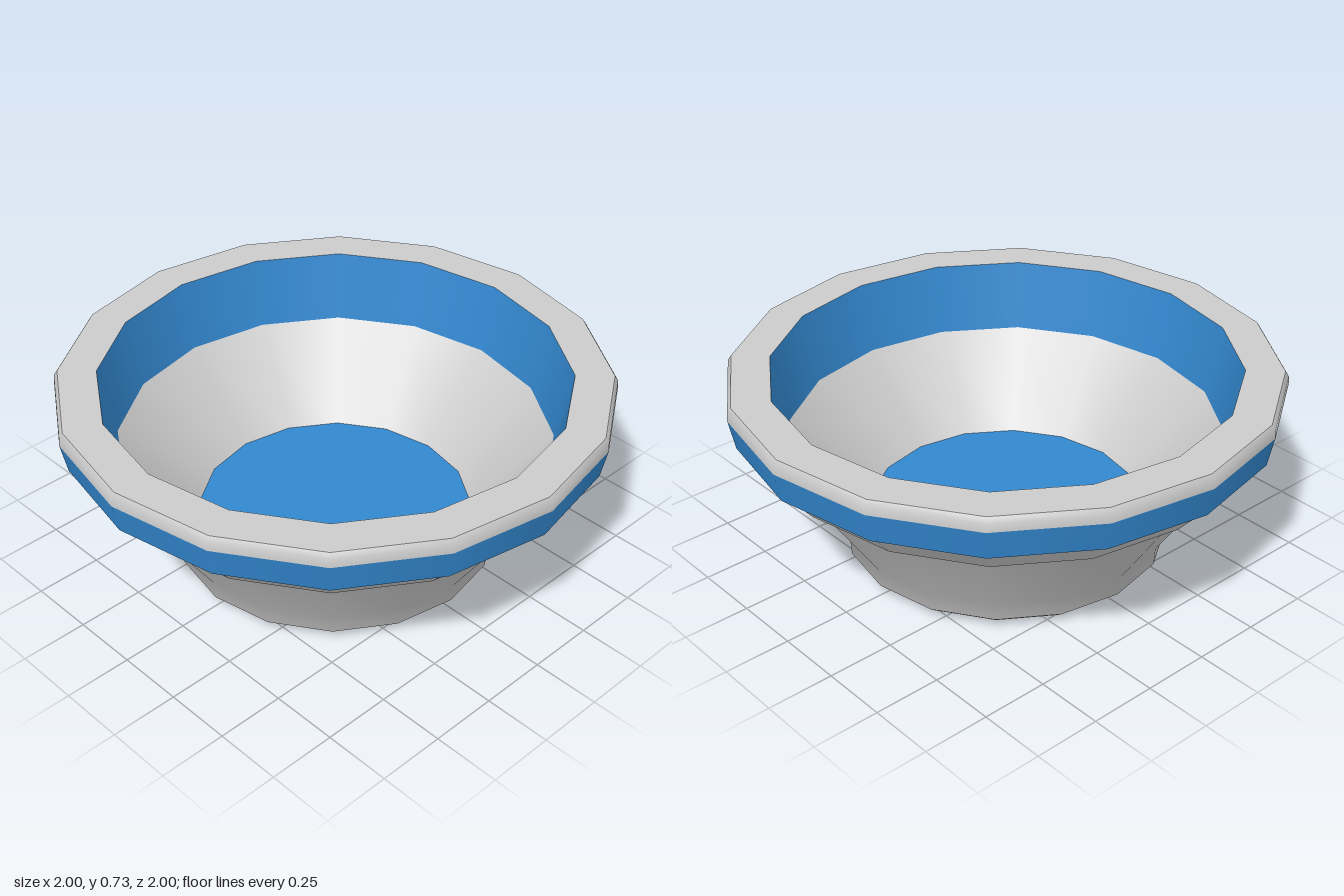
import * as THREE from 'three';

const GREY = 0xcccccc;
const BLUE = 0x3388d0;
const SIDES = 16;

const material = (color) => new THREE.MeshStandardMaterial({ color });

// Ring of surface turned around y; the profile [radius, height] runs
// up the outside, across the rim and down the inside.
function turned(name, color, profile) {
  const points = profile.map(([r, y]) => new THREE.Vector2(r, y));
  const mesh = new THREE.Mesh(new THREE.LatheGeometry(points, SIDES), material(color));
  mesh.name = name;
  return mesh;
}

// Irregular coloured patch under the foot, drawn in its own axes and turned into place
function basePatch() {
  const outline = [
    [-0.41, -0.04], [-0.29, 0.30], [-0.14, 0.41], [-0.05, 0.56], [-0.04, 0.45],
    [0.29, 0.33], [0.38, 0.18], [0.54, 0.06], [0.52, -0.15], [0.39, -0.13],
    [0.26, -0.34], [0.05, -0.56], [0.03, -0.44], [-0.21, -0.36], [-0.34, -0.22],
  ];
  const c = Math.cos(0.61), s = Math.sin(0.61);
  const points = outline.map(([u, n]) => new THREE.Vector2(-u * c + n * s, -u * s - n * c));
  const geometry = new THREE.ShapeGeometry(new THREE.Shape(points));
  geometry.rotateX(Math.PI / 2); // faces down
  const mesh = new THREE.Mesh(geometry, material(BLUE));
  mesh.name = 'basePatch';
  return mesh;
}

export function createModel() {
  const bowl = new THREE.Group();
  bowl.name = 'bowl';
  bowl.add(
    // Outside, from the foot up
    turned('base', GREY, [[0, 0.006], [0.42, 0.006], [0.56, 0.012]]),
    turned('foot', GREY, [[0.56, 0.012], [0.595, 0.04], [0.6, 0.11], [0.825, 0.45]]),
    turned('ledge', GREY, [[0.825, 0.45], [0.86, 0.45]]),
    turned('shoulder', GREY, [[0.86, 0.45], [0.96, 0.565]]),
    turned('lipUnderside', GREY, [[0.96, 0.565], [0.978, 0.565]]),
    turned('outerBand', BLUE, [[0.978, 0.565], [1, 0.675]]),
    // Rim
    turned('rimEdge', GREY, [[1, 0.675], [0.998, 0.705], [0.985, 0.725]]),
    turned('rimTop', GREY, [[0.985, 0.725], [0.845, 0.725]]),
    // Inside, from the rim down
    turned('innerBand', BLUE, [[0.845, 0.725], [0.79, 0.465]]),
    turned('innerWall', GREY, [[0.79, 0.465], [0.505, 0.15]]),
    turned('floor', BLUE, [[0.505, 0.15], [0, 0.15]]),
    basePatch(),
  );
  return bowl;
}
